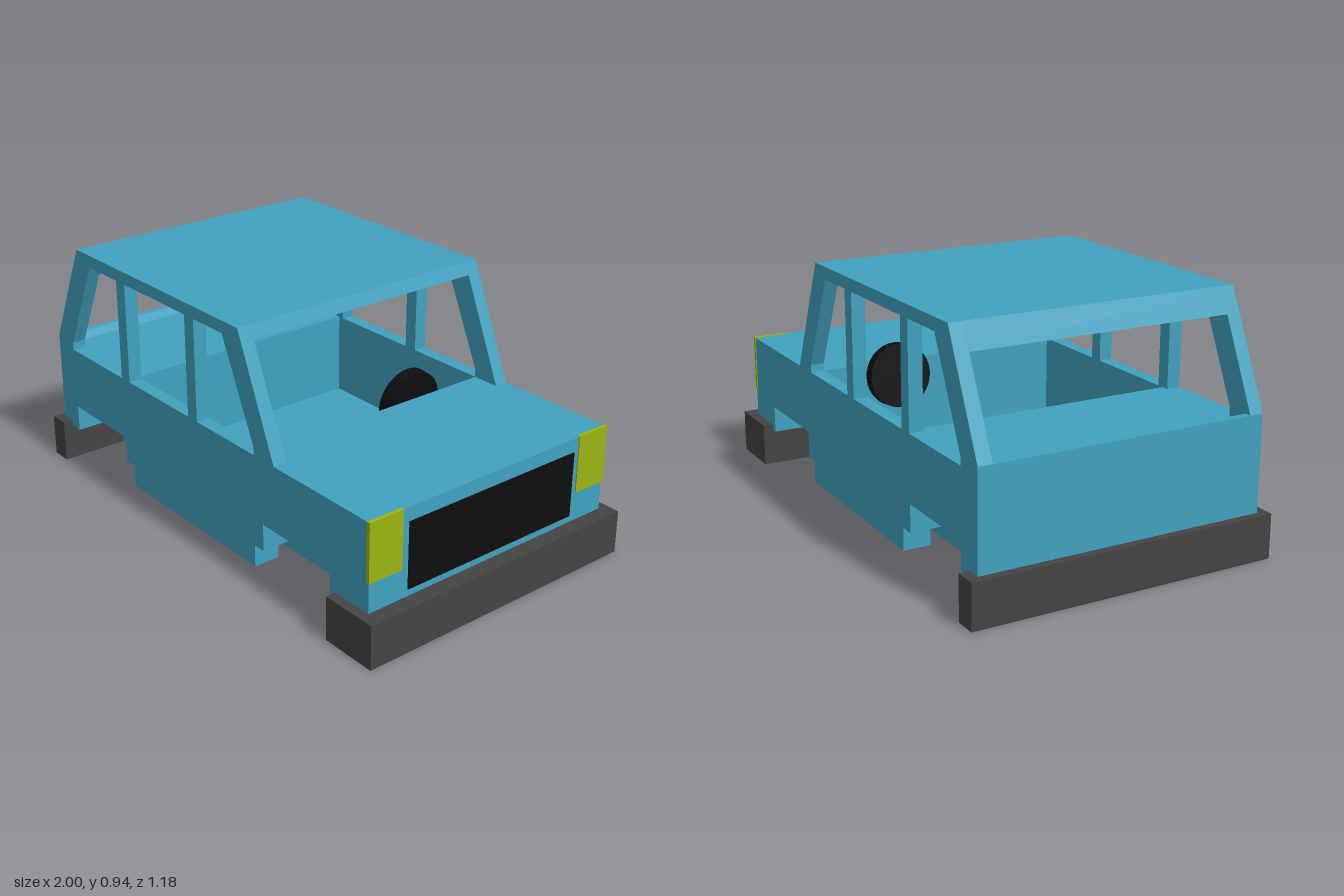
import * as THREE from 'three';

const mat = (color) => new THREE.MeshStandardMaterial({ color, flatShading: true });

export function createModel() {
  const car = new THREE.Group();
  car.name = 'car';
  const paint = mat(0x41a2c0), rubber = mat(0x444444), black = mat(0x0e0e0e), lamp = mat(0x9cb410);

  const add = (name, geometry, material) => {
    const mesh = new THREE.Mesh(geometry, material);
    mesh.name = name;
    car.add(mesh);
    return mesh;
  };
  // Box given by its limits on each axis
  const box = (name, material, x0, x1, y0, y1, z0, z1) => {
    const mesh = add(name, new THREE.BoxGeometry(x1 - x0, y1 - y0, z1 - z0), material);
    mesh.position.set((x0 + x1) / 2, (y0 + y1) / 2, (z0 + z1) / 2);
    return mesh;
  };
  // Side profile extruded across the car from z0 to z1
  const toPoints = (list) => list.map(([x, y]) => new THREE.Vector2(x, y));
  const slab = (name, outline, z0, z1, holes = []) => {
    const shape = new THREE.Shape(toPoints(outline));
    holes.forEach((h) => shape.holes.push(new THREE.Path(toPoints(h))));
    const geometry = new THREE.ExtrudeGeometry(shape, { depth: z1 - z0, bevelEnabled: false });
    geometry.translate(0, 0, z0);
    return add(name, geometry, paint);
  };

  const W = 0.553, IN = 0.5;

  // Side walls with pillars, windows, wheel openings and sill
  const sideOutline = [
    [-0.97, 0.145], [-0.86, 0.145], [-0.86, 0.25], [-0.5, 0.25], [-0.5, 0.145], [-0.445, 0.145],
    [-0.445, 0.06], [0.335, 0.06], [0.335, 0.145], [0.385, 0.145], [0.385, 0.25], [0.745, 0.25],
    [0.745, 0.145], [0.94, 0.145], [0.94, 0.5], [0.45, 0.5], [0.26, 0.94], [-0.78, 0.94], [-0.97, 0.53],
  ];
  const windows = [
    [[-0.86, 0.5], [-0.86, 0.53], [-0.69, 0.893], [-0.5, 0.893], [-0.5, 0.5]],
    [[-0.445, 0.5], [-0.445, 0.893], [-0.055, 0.893], [-0.055, 0.5]],
    [[0, 0.5], [0, 0.893], [0.17, 0.893], [0.338, 0.53], [0.338, 0.5]],
  ];
  slab('rightSideWall', sideOutline, -W, -IN, windows);
  slab('leftSideWall', sideOutline, IN, W, windows);

  // Tub: rear deck, cabin floor and bonnet, with wheel wells cut below
  slab('bodyTub', [
    [-0.97, 0.145], [-0.86, 0.145], [-0.86, 0.25], [-0.5, 0.25], [-0.5, 0.145], [0.385, 0.145],
    [0.385, 0.25], [0.745, 0.25], [0.745, 0.145], [0.94, 0.145], [0.94, 0.5], [0.34, 0.5],
    [0.34, 0.17], [-0.47, 0.17], [-0.47, 0.5], [-0.93, 0.5], [-0.945, 0.53], [-0.97, 0.53],
  ], -IN, IN);

  // Roof with the deeper rear header
  slab('roof', [
    [-0.822, 0.85], [-0.707, 0.85], [-0.687, 0.894], [0.28, 0.894], [0.26, 0.94], [-0.78, 0.94],
  ], -IN, IN);

  // Chassis between the wheels
  box('chassis', paint, -0.86, 0.78, 0.03, 0.16, -0.35, 0.35);
  box('rearWheelWell', paint, -0.86, -0.49, 0.15, 0.26, -0.35, 0.35);
  box('frontWheelWell', paint, 0.375, 0.78, 0.15, 0.26, -0.35, 0.35);

  for (const [side, s] of [['left', 1], ['right', -1]]) {
    // Inner thickness of the sill, and the headlights
    box(side + 'Sill', paint, -0.445, 0.335, 0.06, 0.16, s > 0 ? 0.45 : -IN, s > 0 ? IN : -0.45);
    box(side + 'Headlight', lamp, 0.93, 0.944, 0.28, 0.502, s > 0 ? 0.413 : -0.556, s > 0 ? 0.556 : -0.413);
  }

  box('grille', black, 0.92, 0.944, 0.195, 0.447, -0.39, 0.385);
  box('frontBumper', rubber, 0.775, 1, 0, 0.168, -0.592, 0.592);
  box('rearBumper', rubber, -1, -0.917, 0, 0.168, -0.592, 0.592);

  // Steering wheel and its column, tilted slightly
  const steering = new THREE.Group();
  steering.name = 'steering';
  const wheel = new THREE.Mesh(new THREE.CylinderGeometry(0.125, 0.125, 0.048, 32), black);
  wheel.name = 'steeringWheel';
  const column = new THREE.Mesh(new THREE.CylinderGeometry(0.025, 0.025, 0.09, 16), black);
  column.name = 'steeringColumn';
  column.position.y = -0.045;
  steering.add(wheel, column);
  steering.rotation.z = Math.PI / 2 - 0.12;
  steering.position.set(0.276, 0.46, -0.215);
  car.add(steering);

  return car;
}
